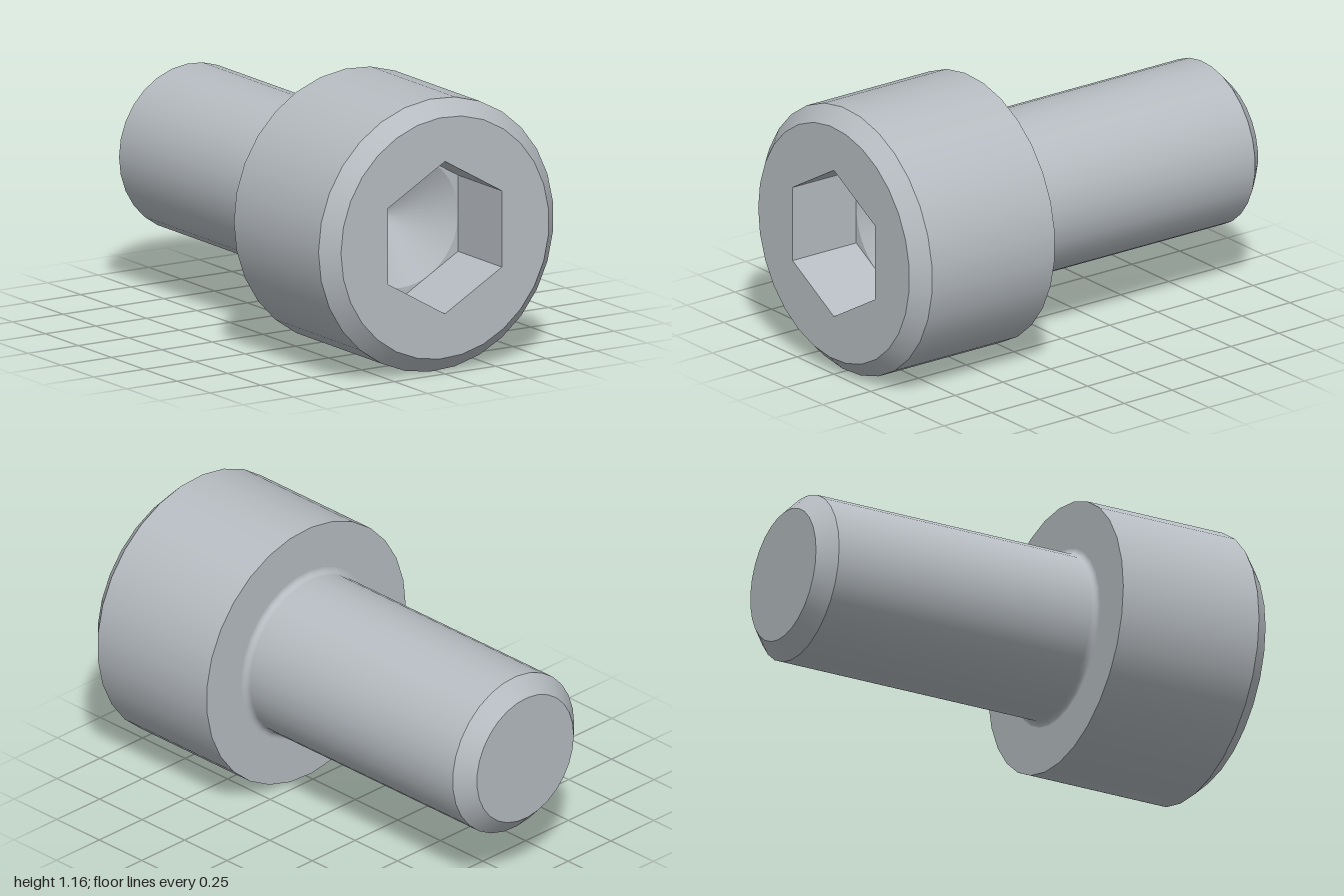
import * as THREE from 'three';

const SIDES = 29;      // facets around the head and shank
const AXIS_Y = 0.582;  // height of the bolt axis
const HEAD_R = 0.582, RIM_R = 0.515, SHANK_R = 0.355, TIP_R = 0.283;
const HEX_R = 0.325, BORE_R = 0.281;
const HEAD_BACK = 0.29, FLOOR_Z = 0.667, FILLET = 0.025;

// Revolve [radius, z] pairs about the z axis; a profile running towards +z faces outwards.
function revolve(profile, sides = SIDES, start = -Math.PI / 2) {
  const points = profile.map(([r, z]) => new THREE.Vector2(r, z));
  return new THREE.LatheGeometry(points, sides, start).rotateX(Math.PI / 2);
}

// Regular polygon outline, usable as a shape or a hole.
function polygon(radius, sides, start) {
  return Array.from({ length: sides }, (_, i) => {
    const a = start + (i / sides) * Math.PI * 2;
    return new THREE.Vector2(radius * Math.cos(a), radius * Math.sin(a));
  });
}

// Flat face with an opening, facing +z.
function plate(outer, hole, z) {
  const shape = new THREE.Shape(outer);
  shape.holes.push(new THREE.Path(hole));
  return new THREE.ShapeGeometry(shape).translate(0, 0, z);
}

export function createModel() {
  const steel = new THREE.MeshStandardMaterial({ color: 0xb6bcc1 });
  steel.name = 'steel';

  const model = new THREE.Group();
  model.name = 'socketHeadBolt';
  const axis = new THREE.Group();
  axis.name = 'bolt';
  axis.position.y = AXIS_Y;
  model.add(axis);

  const add = (name, geometry) => {
    const mesh = new THREE.Mesh(geometry, steel);
    mesh.name = name;
    axis.add(mesh);
  };

  // Shank: flat end, chamfer, then the barrel flowing into a small fillet under the head
  const fillet = [];
  for (let i = 0; i <= 6; i++) {
    const a = (i / 6) * Math.PI / 2;
    fillet.push([
      SHANK_R + FILLET * (1 - Math.cos(a)),
      HEAD_BACK - FILLET * (1 - Math.sin(a)),
    ]);
  }
  add('shankEnd', revolve([[0, -1], [TIP_R, -1]]));
  add('shankChamfer', revolve([[TIP_R, -1], [SHANK_R, -0.93]]));
  add('shankBarrel', revolve([[SHANK_R, -0.93], [SHANK_R, HEAD_BACK - FILLET]]));
  add('shankFillet', revolve(fillet));

  // Head: each band is separate so the rims stay sharp
  add('headUnderside', revolve([[SHANK_R + FILLET, HEAD_BACK], [HEAD_R, HEAD_BACK]]));
  add('headSide', revolve([[HEAD_R, HEAD_BACK], [HEAD_R, 0.932]]));
  add('headChamfer', revolve([[HEAD_R, 0.932], [RIM_R, 1]]));
  const hex = polygon(HEX_R, 6, Math.PI / 2);
  add('headFace', plate(polygon(RIM_R, SIDES, Math.PI), hex, 1));

  // Hexagonal socket with a flat ledge and a conical bottom
  const walls = revolve([[HEX_R, 1], [HEX_R, FLOOR_Z]], 6, 0).toNonIndexed();
  walls.computeVertexNormals();
  add('socketWalls', walls);
  add('socketLedge', plate(hex, polygon(BORE_R, 48, 0), FLOOR_Z));
  add('socketCone', revolve([[BORE_R, FLOOR_Z], [0, FLOOR_Z - BORE_R * Math.tan(Math.PI / 6)]], 48));

  return model;
}
